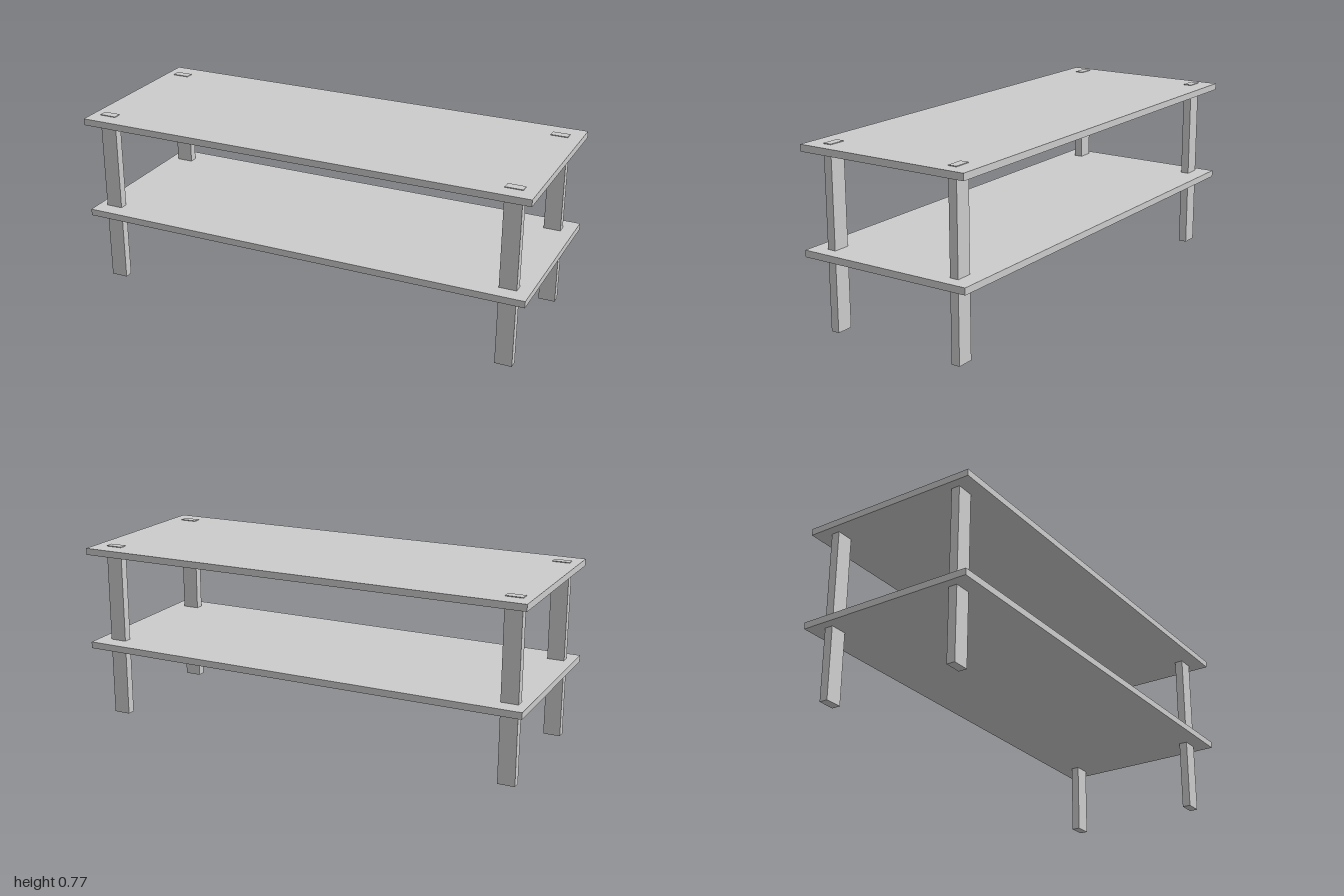
import * as THREE from 'three';

export function createModel() {
  const group = new THREE.Group();
  const material = new THREE.MeshStandardMaterial({ color: 0xcccccc, flatShading: true });

  const addBox = (name, size, position) => {
    const mesh = new THREE.Mesh(new THREE.BoxGeometry(...size), material);
    mesh.name = name;
    mesh.position.set(...position);
    group.add(mesh);
  };

  // Two identical boards
  addBox('tableTop', [2, 0.029, 0.78], [0, 0.7565, 0]);
  addBox('lowerShelf', [2, 0.029, 0.78], [0, 0.3295, 0]);

  // Four flat posts running through both boards, ends just proud of the top
  const legHeight = 0.774;
  for (const [side, x] of [['Left', 0.907], ['Right', -0.924]]) {
    for (const [end, z] of [['front', 0.303], ['back', -0.298]]) {
      addBox(`${end}${side}Leg`, [0.074, legHeight, 0.037], [x, legHeight / 2, z]);
    }
  }
  return group;
}
